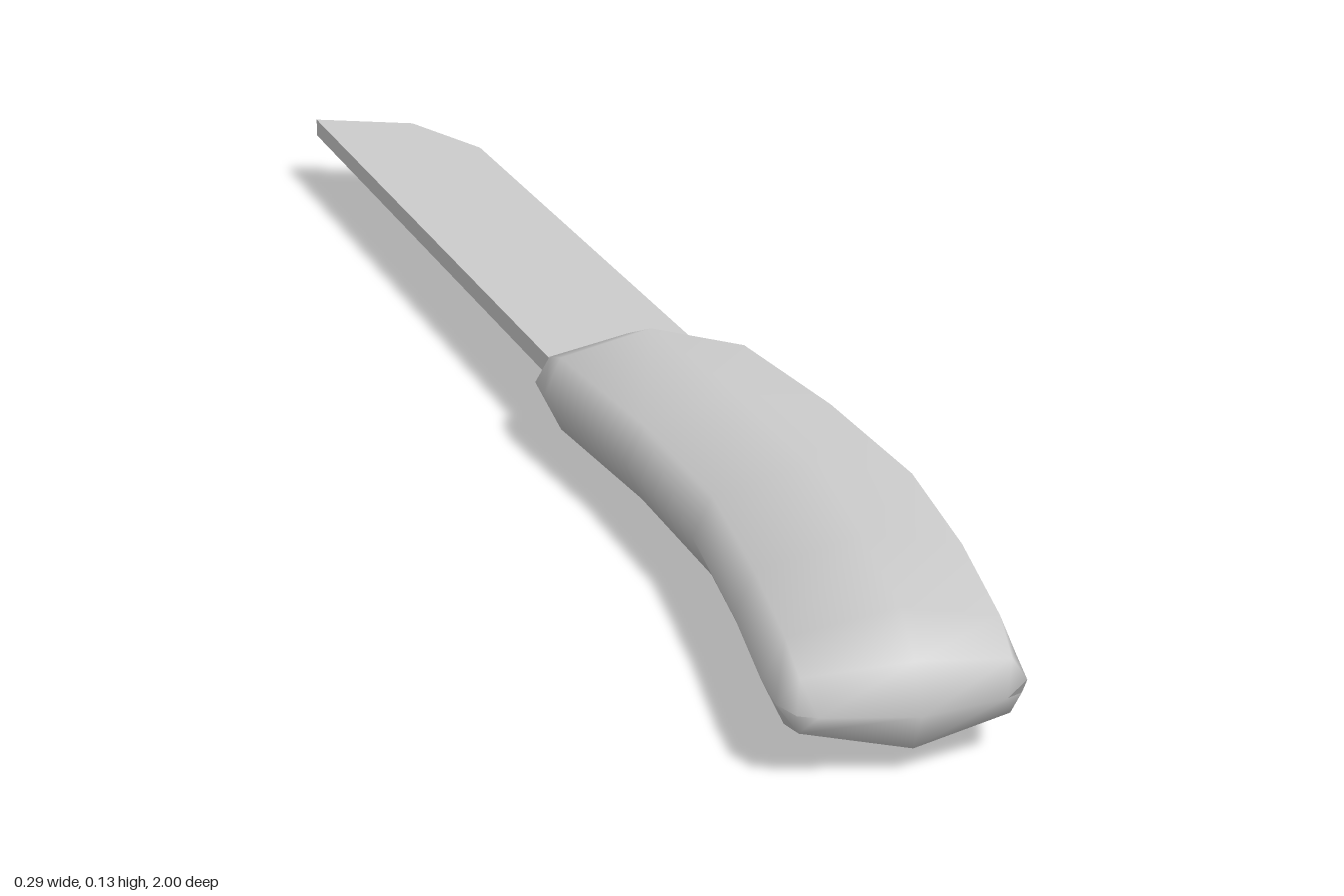
import * as THREE from 'three';
import { mergeVertices } from 'three/addons/utils/BufferGeometryUtils.js';

const material = new THREE.MeshStandardMaterial({ color: 0xcccccc });
const HALF = 0.0635; // half the handle thickness

// Half-octagon section: side position u (-1..1) and height v
const SECTION = [[1, 0], [0.84, 0.63], [0, 1], [-0.84, 0.63], [-1, 0], [-0.84, -0.63], [0, -1], [0.84, -0.63]];

// Handle stations: [left x, left z, middle z, right x, right z, thickness factor]
const STATIONS = [
  [-0.105, 0.065, 0.05, 0.09, 0.073, 0],
  [-0.115, 0.085, 0.07, 0.103, 0.093, 0.63],
  [-0.118, 0.13, 0.13, 0.118, 0.15, 1],
  [-0.098, 0.35, 0.35, 0.14, 0.35, 1],
  [-0.095, 0.56, 0.56, 0.145, 0.56, 1],
  [-0.119, 0.75, 0.75, 0.121, 0.74, 1],
  [-0.142, 0.89, 0.915, 0.088, 0.9, 1],
  [-0.147, 0.94, 0.975, 0.075, 0.955, 0.63],
  [-0.138, 0.968, 1, 0.06, 0.978, 0],
];

// Curved grip lofted through the stations, closed to an edge at both ends
function handleGeometry() {
  const n = SECTION.length, positions = [], index = [];
  STATIONS.forEach(([xl, zl, zm, xr, zr, h], i) => {
    SECTION.forEach(([u, v], j) => {
      const x = (xl + xr) / 2 + u * (xr - xl) / 2;
      const z = zm + u * (zr - zl) / 2 + u * u * ((zl + zr) / 2 - zm);
      positions.push(x, HALF + v * h * HALF, z);
      if (i === STATIONS.length - 1) return;
      const a = i * n + j, b = i * n + (j + 1) % n;
      index.push(a, b, b + n, a, b + n, a + n);
    });
  });
  const geometry = new THREE.BufferGeometry();
  geometry.setAttribute('position', new THREE.Float32BufferAttribute(positions, 3));
  geometry.setIndex(index);
  const merged = mergeVertices(geometry, 1e-5);
  merged.computeVertexNormals();
  return merged;
}

// Flat blade with a clipped tip, drawn in plan and laid down
function bladeGeometry() {
  const outline = [[-0.116, 1], [-0.092, -0.1], [0.076, -0.1], [0.058, 0.795], [0.003, 0.943]];
  const shape = new THREE.Shape(outline.map(([x, y]) => new THREE.Vector2(x, y)));
  return new THREE.ExtrudeGeometry(shape, { depth: 0.022, bevelEnabled: false })
    .rotateX(-Math.PI / 2)
    .translate(0, 0.059, 0);
}

export function createModel() {
  const group = new THREE.Group();
  group.name = 'knife';
  const add = (name, geometry) => {
    const mesh = new THREE.Mesh(geometry, material);
    mesh.name = name;
    group.add(mesh);
  };
  add('handle', handleGeometry());
  add('blade', bladeGeometry());
  return group;
}
